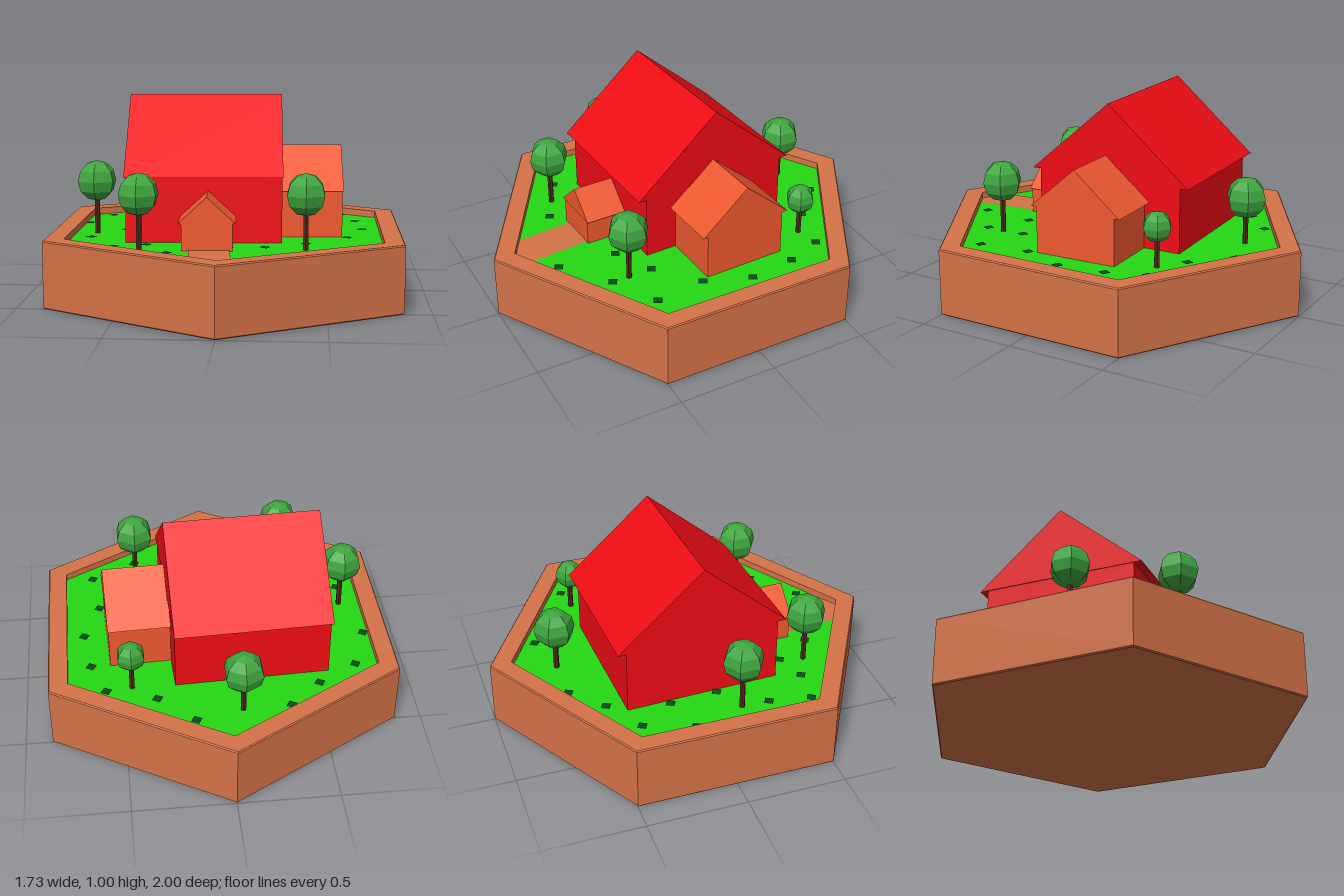
import * as THREE from 'three';

const GROUND = 0.3;

const paint = (color) => new THREE.MeshStandardMaterial({ color, flatShading: true, side: THREE.DoubleSide });
const red = paint(0xf00c14);
const orange = paint(0xf05a30);
const clay = paint(0xd47248);
const grass = paint(0x26d813);
const leaf = paint(0x3fa63f);
const bark = paint(0x56281a);
const stone = paint(0x0a4a1c);

function add(parent, name, geometry, material, x = 0, y = 0, z = 0) {
  const mesh = new THREE.Mesh(geometry, material);
  mesh.name = name;
  mesh.position.set(x, y, z);
  parent.add(mesh);
  return mesh;
}

// Box walls under a solid gable roof; the ridge runs along local x from x0 to x1
function gabledBlock(name, material, { x0, x1, wall, roof, eave, ridge }) {
  const block = new THREE.Group();
  block.name = name;
  const length = x1 - x0;
  const wallHeight = eave - GROUND;
  add(block, name + 'Walls', new THREE.BoxGeometry(length - 0.008, wallHeight, wall * 2), material,
    (x0 + x1) / 2, GROUND + wallHeight / 2, 0);
  const gable = new THREE.Shape([
    new THREE.Vector2(-roof, eave), new THREE.Vector2(roof, eave), new THREE.Vector2(0, ridge)]);
  const roofGeometry = new THREE.ExtrudeGeometry(gable, { depth: length, bevelEnabled: false });
  roofGeometry.rotateY(Math.PI / 2);
  add(block, name + 'Roof', roofGeometry, material, x0, 0, 0);
  return block;
}

function tree(x, z, centre, radius) {
  const group = new THREE.Group();
  group.name = 'tree';
  group.position.set(x, 0, z);
  add(group, 'trunk', new THREE.CylinderGeometry(0.014, 0.014, centre - GROUND, 6), bark,
    0, (centre + GROUND) / 2, 0);
  const crown = add(group, 'crown', new THREE.SphereGeometry(radius, 6, 6), leaf, 0, centre, 0);
  crown.rotation.y = Math.PI / 6;
  return group;
}

export function createModel() {
  const model = new THREE.Group();
  model.name = 'houseOnHexagonalPlot';

  // Six-sided planter with a slightly chamfered rim
  const profile = [[0, 0], [0.994, 0], [1, 0.006], [1, 0.329], [0.994, 0.335], [0.89, 0.335], [0.89, 0.28]]
    .map(([r, y]) => new THREE.Vector2(r, y));
  add(model, 'planter', new THREE.LatheGeometry(profile, 6), clay);

  // Lawn
  const lawn = new THREE.CircleGeometry(0.89, 6, Math.PI / 2);
  lawn.rotateX(-Math.PI / 2);
  add(model, 'lawn', lawn, grass, 0, GROUND, 0);

  // Path from the porch to the front corner of the rim (shape y is -z)
  const outline = [[-0.165, 0.5], [-0.132, 0.813], [0, 0.889], [0.067, 0.85], [0.033, 0.5]]
    .map(([x, z]) => new THREE.Vector2(x, -z));
  const path = new THREE.ShapeGeometry(new THREE.Shape(outline));
  path.rotateX(-Math.PI / 2);
  add(model, 'path', path, clay, 0, GROUND + 0.004, 0);

  // House, turned slightly on its plot
  const house = new THREE.Group();
  house.name = 'house';
  house.position.set(-0.12, 0, -0.068);
  house.rotation.y = 0.043;
  model.add(house);

  house.add(gabledBlock('mainHouse', red,
    { x0: -0.387, x1: 0.387, wall: 0.388, roof: 0.43, eave: 0.627, ridge: 1 }));

  const wing = gabledBlock('sideWing', orange,
    { x0: 0.33, x1: 0.692, wall: 0.212, roof: 0.24, eave: 0.535, ridge: 0.743 });
  wing.position.z = 0.014;
  house.add(wing);

  const porch = gabledBlock('porch', orange,
    { x0: 0.33, x1: 0.597, wall: 0.122, roof: 0.137, eave: 0.432, ridge: 0.558 });
  porch.rotation.y = -Math.PI / 2;
  porch.position.x = 0.022;
  house.add(porch);

  // Trees: x, z, crown height, crown radius
  for (const t of [
    [-0.665, 0.09, 0.57, 0.103], [-0.395, 0.525, 0.57, 0.103], [0.395, 0.46, 0.565, 0.103],
    [-0.065, -0.675, 0.535, 0.103], [0.458, -0.467, 0.5, 0.074],
  ]) model.add(tree(...t));

  // Flat tiles scattered over the lawn
  const tile = new THREE.PlaneGeometry(0.042, 0.042);
  tile.rotateX(-Math.PI / 2);
  for (const [x, z] of [
    [-0.3, -0.675], [0.165, -0.735], [-0.46, -0.53], [-0.66, -0.41], [0.34, -0.567], [0.585, -0.49],
    [0.655, -0.3], [-0.54, -0.23], [-0.745, -0.17], [-0.525, 0.01], [0.685, -0.06], [0.6, 0.167],
    [-0.675, 0.225], [0.395, 0.34], [-0.375, 0.405], [-0.53, 0.455], [-0.715, 0.43], [0.2, 0.44],
    [0.63, 0.427], [-0.257, 0.595], [0.168, 0.73], [0.4, 0.55],
  ]) add(model, 'lawnTile', tile, stone, x, GROUND + 0.006, z).rotation.y = -0.5;

  return model;
}
